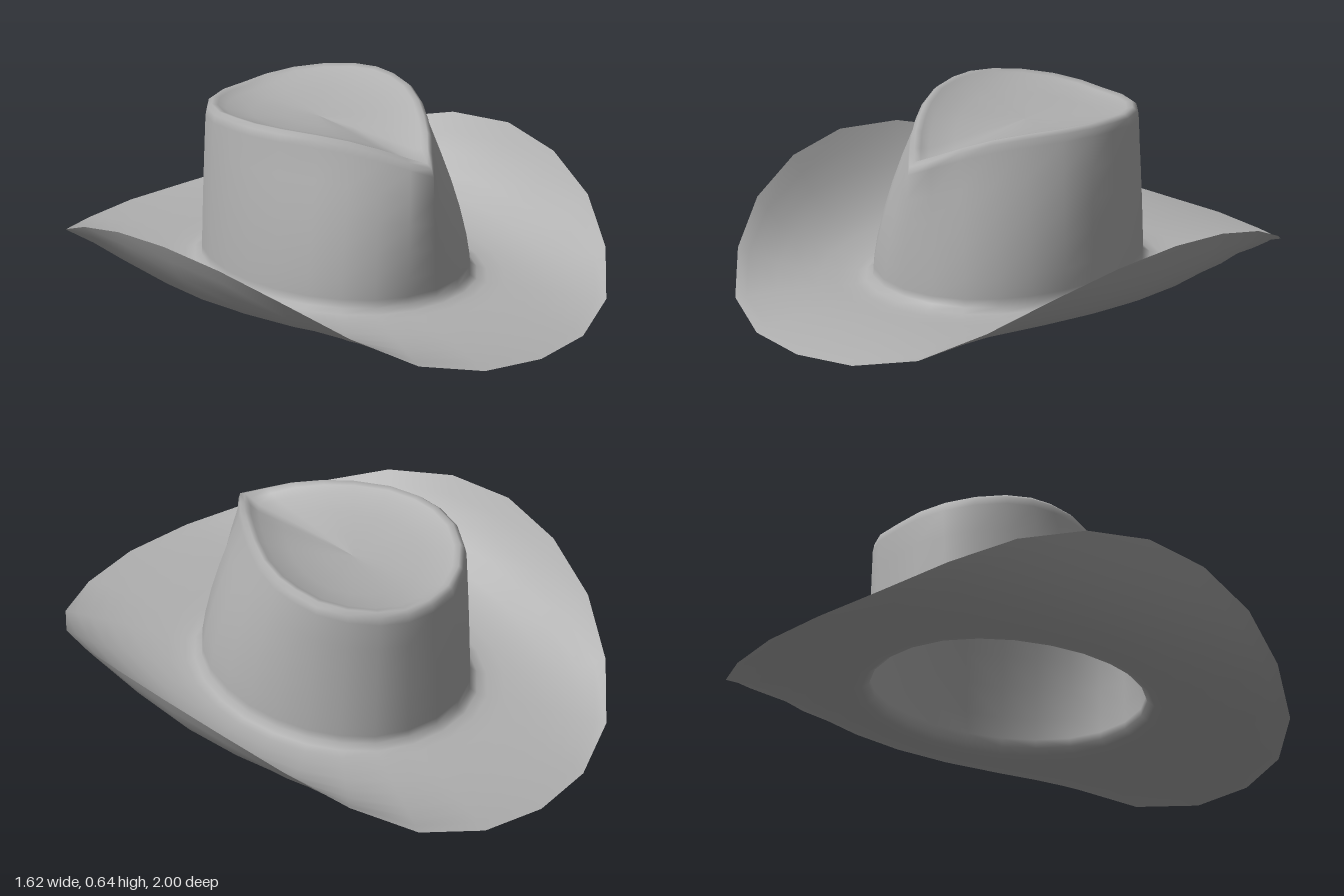
import * as THREE from 'three';

const SIDES = 24;

// Brim edge over a quarter turn, front to side: x, z, height
const EDGE = [
  [0, 1, 0], [0.23, 0.965, 0.01], [0.44, 0.86, 0.055], [0.6, 0.69, 0.15],
  [0.715, 0.485, 0.25], [0.785, 0.245, 0.32], [0.81, 0, 0.345],
];
// Teardrop crown rim over a half turn, front to back: x, z, height
const RIM = [
  [0, 0.475, 0.55], [0.055, 0.42, 0.572], [0.12, 0.35, 0.6], [0.185, 0.265, 0.622],
  [0.25, 0.17, 0.635], [0.315, 0.05, 0.642], [0.347, -0.06, 0.642], [0.352, -0.15, 0.64],
  [0.335, -0.25, 0.63], [0.28, -0.345, 0.618], [0.2, -0.42, 0.605], [0.105, -0.465, 0.593],
  [0, -0.475, 0.587],
];
const TOP_Z = -0.08; // middle of the crown top
const lerp = THREE.MathUtils.lerp;

// Mirror the tables to any of the 24 columns
function column(j) {
  const k = j <= 12 ? j : SIDES - j;
  const side = j <= 12 ? 1 : -1;
  const e = EDGE[k <= 6 ? k : 12 - k];
  const edge = [side * e[0], (k <= 6 ? 1 : -1) * e[1], e[2]];
  const rim = [side * RIM[k][0], RIM[k][1], RIM[k][2]];
  const base = [edge[0] * 0.505, edge[1] * 0.49, 0.078];
  return { edge, rim, base };
}

// Brim: rolls up at the sides, dips at front and back, small fillet at the crown
const brimRing = (t) => ({ edge, base }) => {
  const power = 2 + Math.abs(edge[0]) / 0.81;
  const fillet = 0.023 * Math.max(0, 1 - t / 0.12) ** 2;
  const y = 0.055 + (edge[2] - 0.055) * t ** power + fillet;
  return [lerp(base[0], edge[0], t), y, lerp(base[1], edge[1], t)];
};

// Crown wall: oval base blending into the teardrop
const wallRing = (s) => ({ rim, base }) => {
  const f = s ** 1.5;
  return [lerp(base[0], rim[0], f), lerp(base[2], rim[2] - 0.04, s), lerp(base[1], rim[1], f)];
};

// Crown top: rounded rim and shallow dish
const topRing = (scale, drop, dish) => ({ rim }) => [
  rim[0] * scale,
  lerp(rim[2] - drop, 0.572, dish),
  TOP_Z + (rim[1] - TOP_Z) * scale,
];

export function createModel() {
  const felt = new THREE.MeshStandardMaterial({ color: 0xb0b0b0, side: THREE.DoubleSide });
  felt.name = 'greyFelt';

  const parts = {
    brim: [1, 0.92, 0.82, 0.7, 0.55, 0.4, 0.25, 0.12, 0.05, 0].map(brimRing),
    crownWall: [0.06, 0.2, 0.4, 0.6, 0.8, 1].map(wallRing),
    crownTop: [
      topRing(0.985, 0.013, 0), topRing(0.945, 0, 0), topRing(0.89, 0.005, 0),
      topRing(0.82, 0.016, 0.1), topRing(0.6, 0.02, 0.5), topRing(0.3, 0.02, 0.85),
      topRing(0, 0, 1),
    ],
  };

  // Loft all rings as one smooth sheet
  const positions = [];
  const allIndices = [];
  const partIndices = {};
  let ring = 0;
  for (const [name, rings] of Object.entries(parts)) {
    partIndices[name] = [];
    for (const place of rings) {
      for (let j = 0; j < SIDES; j++) {
        positions.push(...place(column(j)));
        if (ring === 0) continue;
        const next = (j + 1) % SIDES;
        const a = (ring - 1) * SIDES + j, b = (ring - 1) * SIDES + next;
        const c = ring * SIDES + next, d = ring * SIDES + j;
        partIndices[name].push(a, b, c, a, c, d);
      }
      ring++;
    }
    allIndices.push(...partIndices[name]);
  }
  const sheet = new THREE.BufferGeometry();
  sheet.setAttribute('position', new THREE.Float32BufferAttribute(positions, 3));
  sheet.setIndex(allIndices);
  sheet.computeVertexNormals();

  // One mesh per part, sharing normals so the joins stay smooth
  const hat = new THREE.Group();
  hat.name = 'hat';
  for (const [name, indices] of Object.entries(partIndices)) {
    const geometry = new THREE.BufferGeometry();
    geometry.setAttribute('position', sheet.getAttribute('position'));
    geometry.setAttribute('normal', sheet.getAttribute('normal'));
    geometry.setIndex(indices);
    const mesh = new THREE.Mesh(geometry, felt);
    mesh.name = name;
    hat.add(mesh);
  }
  return hat;
}
